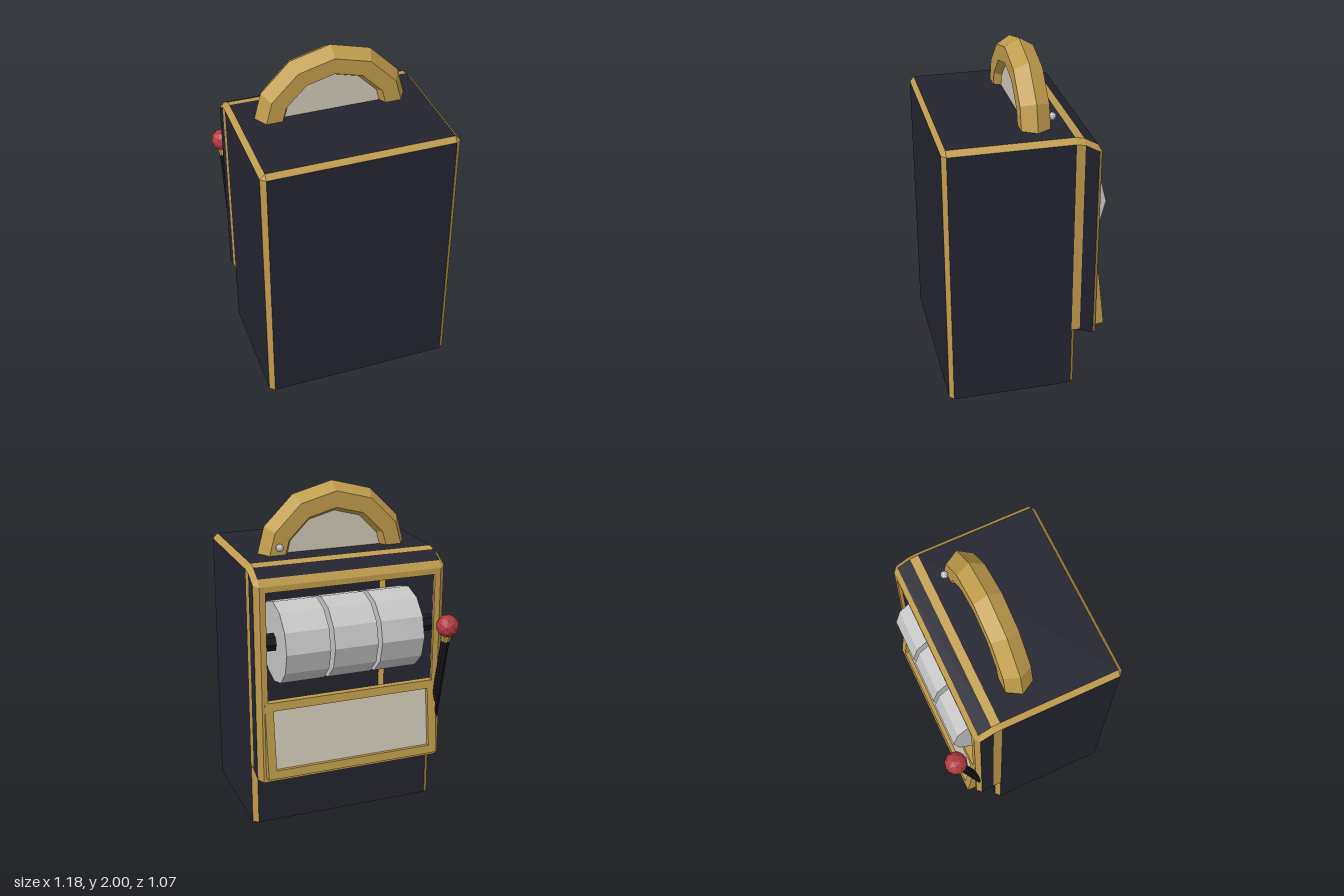
import * as THREE from 'three';

const paint = (name, color) => {
  const m = new THREE.MeshStandardMaterial({ color, flatShading: true, side: THREE.DoubleSide });
  m.name = name;
  return m;
};

export function createModel() {
  const gold = paint('gold trim', 0xc09c4c);
  const navy = paint('navy cabinet', 0x242430);
  const cream = paint('cream panel', 0xcfc8b6);
  const grey = paint('reel grey', 0xc6c6c6);
  const red = paint('red knob', 0xb03a3e);
  const black = paint('black metal', 0x17171c);

  const model = new THREE.Group();
  model.name = 'slotMachine';
  const root = new THREE.Group();
  root.name = 'machine';
  root.position.x = 0.015;
  model.add(root);

  const add = (name, geo, mat, parent = root) => {
    const mesh = new THREE.Mesh(geo, mat);
    mesh.name = name;
    parent.add(mesh);
    return mesh;
  };
  // Flat panel from three or four corners
  const panel = (name, mat, ...pts) => {
    const g = new THREE.BufferGeometry().setFromPoints(pts.map(p => new THREE.Vector3(...p)));
    g.setIndex(pts.length === 4 ? [0, 1, 2, 0, 2, 3] : [0, 1, 2]);
    g.computeVertexNormals();
    add(name, g, mat);
  };
  // Rectangular frame, extruded along z
  const frame = (x, y0, y1, w, depth) => {
    const path = (P, i) => new P([[-x + i, y0 + i], [x - i, y0 + i], [x - i, y1 - i], [-x + i, y1 - i]]
      .map(p => new THREE.Vector2(...p)));
    const s = path(THREE.Shape, 0);
    s.holes.push(path(THREE.Path, w));
    return new THREE.ExtrudeGeometry(s, { depth, bevelEnabled: false });
  };

  // Cabinet shell: X outer width, I width inside the chamfer
  const X = 0.575, I = 0.545, F = 0.535, f = 0.51, B = -0.225, b = -0.2;
  const T = 1.61, t = 1.58, c = 0.03, floorY = 0.38;
  panel('frontPanel', navy, [-I, 0, F], [I, 0, F], [I, t, F], [-I, t, F]);
  panel('frontTopTrim', gold, [-I, t, F], [I, t, F], [I, T, f], [-I, T, f]);
  panel('lowerRearPanel', navy, [I, 0, B], [-I, 0, B], [-I, floorY, B], [I, floorY, B]);
  panel('cabinetFloor', navy, [-I, floorY, F], [I, floorY, F], [I, floorY, B], [-I, floorY, B]);
  panel('base', navy, [-X, 0, b], [X, 0, b], [X, 0, f], [-X, 0, f]);
  panel('baseFront', navy, [-X, 0, f], [X, 0, f], [I, 0, F], [-I, 0, F]);
  panel('baseRear', navy, [X, 0, b], [-X, 0, b], [-I, 0, B], [I, 0, B]);

  // Roof and side sections from front to rear: z, roof height, bottom height at start and end
  const profile = [
    [f, T, 0, 0, navy, 'body'],
    [b, T, floorY, floorY, gold, 'seam'],
    [-0.25, 1.6, 0.375, 0.345, navy, 'hood'],
    [-0.33, 1.555],
  ];
  for (let i = 0; i < 3; i++) {
    const [z0, y0, d0, d1, mat, name] = profile[i], [z1, y1] = profile[i + 1];
    panel(name + 'Roof', mat, [-I, y0, z0], [I, y0, z0], [I, y1, z1], [-I, y1, z1]);
    for (const s of [-1, 1]) {
      panel(name + 'RoofTrim', gold, [s * X, y0 - c, z0], [s * I, y0, z0], [s * I, y1, z1], [s * X, y1 - c, z1]);
      panel(name + 'Side', mat, [s * X, d0, z0], [s * X, y0 - c, z0], [s * X, y1 - c, z1], [s * X, d1, z1]);
    }
  }

  // Rear rim, chamfers and underside of the hood
  const hz = -0.33, rz = -0.355, rimTop = 1.515, rimLow = 0.33;
  panel('rimTopTrim', gold, [-I, 1.555, hz], [I, 1.555, hz], [I, rimTop, rz], [-I, rimTop, rz]);
  panel('hoodUnderside', navy, [-X, floorY, B], [X, floorY, B], [X, 0.345, hz], [-X, 0.345, hz]);
  panel('rimBottomTrim', gold, [-X, 0.345, hz], [X, 0.345, hz], [I, rimLow, rz], [-I, rimLow, rz]);
  for (const s of [-1, 1]) {
    panel('frontCornerTrim', gold, [s * I, 0, F], [s * X, 0, f], [s * X, t, f], [s * I, t, F]);
    panel('frontCornerCap', gold, [s * I, t, F], [s * X, t, f], [s * I, T, f]);
    panel('rearCornerTrim', gold, [s * X, 0, b], [s * I, 0, B], [s * I, floorY, B], [s * X, floorY, b]);
    panel('rimSideTrim', gold, [s * X, 0.345, hz], [s * I, rimLow, rz], [s * I, rimTop, rz], [s * X, 1.525, hz]);
    panel('rimCornerCap', gold, [s * X, 1.525, hz], [s * I, 1.555, hz], [s * I, rimTop, rz]);
  }
  add('openingRim', frame(I, rimLow, rimTop, 0.035, 0.02), gold).position.z = rz;

  // Three faceted reels on an axle
  const reels = new THREE.Group();
  reels.name = 'reels';
  reels.position.set(0, 1.13, -0.19);
  root.add(reels);
  for (const x of [-0.287, 0, 0.288]) {
    add('reel', new THREE.CylinderGeometry(0.242, 0.242, 0.262, 12).rotateZ(Math.PI / 2), grey, reels).position.x = x;
  }
  add('axle', new THREE.CylinderGeometry(0.055, 0.055, 1.12, 8).rotateZ(Math.PI / 2), black, reels);

  // Tilted display panel below the reels
  const display = new THREE.Group();
  display.name = 'displayPanel';
  display.position.set(0, 0.37, -0.41);
  display.rotation.set(0.12, Math.PI, 0);
  root.add(display);
  add('displayFrame', frame(0.53, 0, 0.458, 0.05, 0.055), gold, display).position.z = -0.055;
  add('displayFace', new THREE.BoxGeometry(0.97, 0.365, 0.02), cream, display).position.set(0, 0.229, -0.035);

  // Arched sign on the roof
  const arch = new THREE.Group();
  arch.name = 'archSign';
  arch.position.set(0, 1.528, -0.018);
  root.add(arch);
  add('archFrame', new THREE.TorusGeometry(0.378, 0.095, 6, 6, Math.PI), gold, arch);
  add('archFace', new THREE.CylinderGeometry(0.312, 0.312, 0.08, 6, 1, false, Math.PI / 2, Math.PI)
    .rotateX(Math.PI / 2), cream, arch);
  add('roofButton', new THREE.IcosahedronGeometry(0.023, 1), grey).position.set(0.35, 1.66, -0.122);

  // Pull lever
  const lever = new THREE.Group();
  lever.name = 'lever';
  lever.position.set(-0.543, 1.2, -0.471);
  lever.rotation.x = -0.23;
  root.add(lever);
  add('leverShaft', new THREE.CylinderGeometry(0.026, 0.026, 0.62, 8), black, lever).position.y = -0.4;
  add('leverCollar', new THREE.CylinderGeometry(0.034, 0.028, 0.045, 8), gold, lever).position.y = -0.075;
  add('leverKnob', new THREE.IcosahedronGeometry(0.067, 1), red, lever);

  return model;
}
